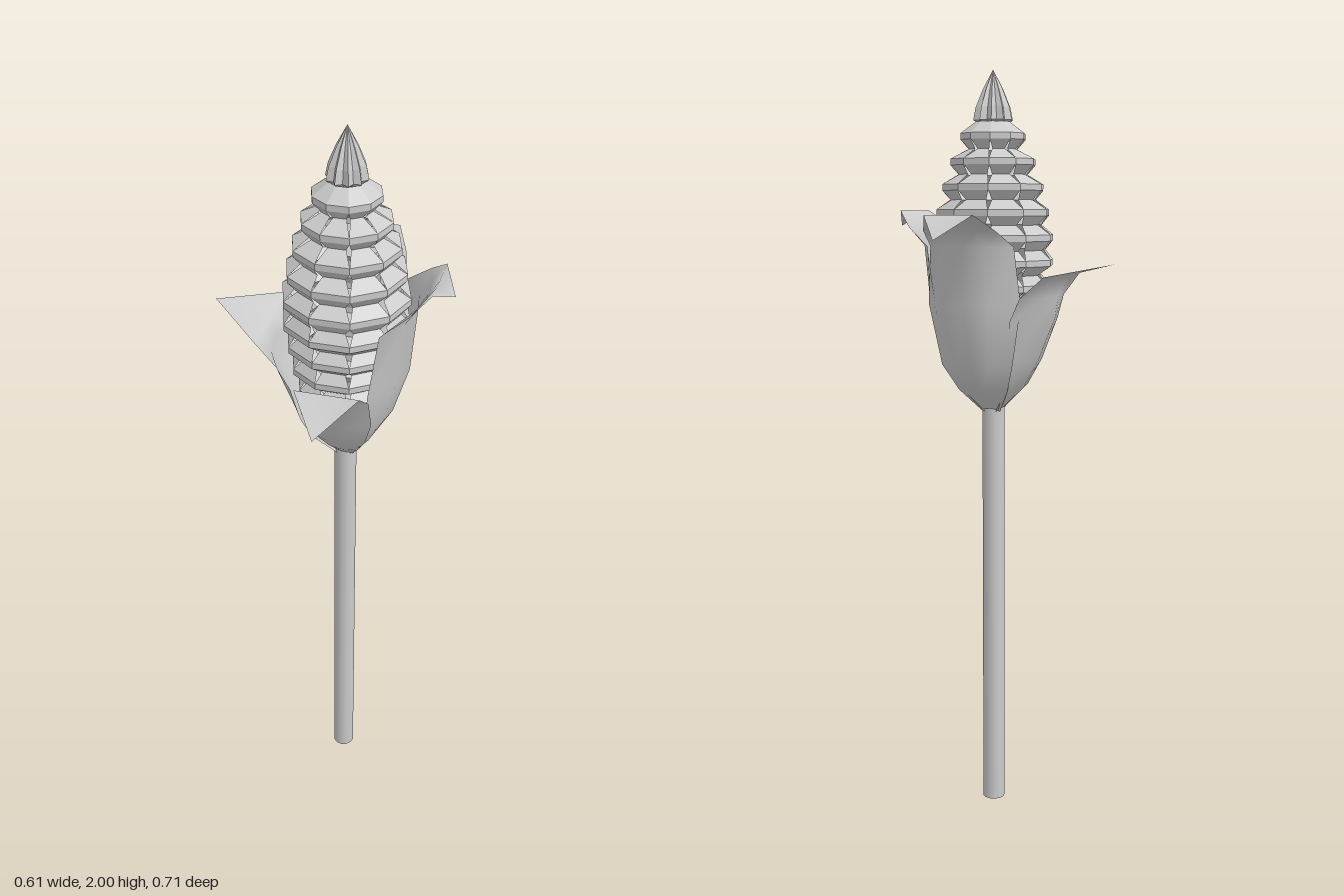
import * as THREE from 'three';

const GREY = 0xcccccc;
const flat = new THREE.MeshStandardMaterial({ color: GREY, flatShading: true, side: THREE.DoubleSide });
const smooth = new THREE.MeshStandardMaterial({ color: GREY, side: THREE.DoubleSide });

function named(name, geometry, material) {
  const mesh = new THREE.Mesh(geometry, material);
  mesh.name = name;
  return mesh;
}

// Surface through a grid of points: rows run upward, columns run left to right
function gridSurface(rows) {
  const cols = rows[0].length, index = [];
  for (let j = 0; j < rows.length - 1; j++) {
    for (let i = 0; i < cols - 1; i++) {
      const a = j * cols + i, b = a + 1, c = a + cols, d = c + 1;
      index.push(a, b, d, a, d, c);
    }
  }
  const geometry = new THREE.BufferGeometry();
  geometry.setAttribute('position', new THREE.Float32BufferAttribute(rows.flat(2), 3));
  geometry.setIndex(index);
  geometry.computeVertexNormals();
  return geometry;
}

// Petal section: [distance out, height, half width, how far the edges curl inward]
function petal(name, sections, yaw, shift = 0) {
  const steps = [-1, -0.5, 0, 0.5, 1];
  const rows = sections.map(([out, y, w, curl]) =>
    steps.map(t => [t * w + shift, y, out - curl * t * t]));
  const mesh = named(name, gridSurface(rows), smooth);
  mesh.rotation.y = yaw;
  return mesh;
}

// One vertical column of kernels; it narrows at each waist to leave slits between columns
function kernelColumn(tiers, half) {
  const rows = [];
  const ring = (r, y, h) => rows.push([-h, h].map(a => [r * Math.sin(a), y, r * Math.cos(a)]));
  tiers.forEach(([y, r], i) => {
    const below = i ? tiers[i - 1][1] : r - 0.02;
    ring(Math.min(r, below) - 0.022, y - 0.032, half * 0.8);
    ring(r, y - 0.008, half);
    ring(r, y + 0.008, half);
  });
  ring(0.046, 1.868, half);
  return gridSurface(rows);
}

export function createModel() {
  const model = new THREE.Group();
  model.name = 'flowerSpike';
  const plant = new THREE.Group();
  plant.name = 'plant';
  plant.position.set(0.035, 0, 0.013);
  model.add(plant);

  // Stem
  const stem = named('stem', new THREE.CylinderGeometry(0.03, 0.03, 1.13, 12), smooth);
  stem.position.y = 0.565;
  plant.add(stem);

  // Tiered cob, ten columns around
  const tiers = [
    [1.245, 0.1], [1.31, 0.125], [1.375, 0.14], [1.44, 0.152], [1.505, 0.163],
    [1.57, 0.163], [1.635, 0.152], [1.7, 0.136], [1.765, 0.114], [1.83, 0.087],
  ];
  const cob = new THREE.Group();
  cob.name = 'cob';
  const column = kernelColumn(tiers, Math.PI / 10);
  for (let k = 0; k < 10; k++) {
    const mesh = named('kernelColumn', column, flat);
    mesh.rotation.y = k * Math.PI / 5;
    cob.add(mesh);
  }
  plant.add(cob);

  // Ribbed tip: every second column of the lathe is drawn in
  const profile = [[0.04, 1.862], [0.053, 1.872], [0.046, 1.905], [0.027, 1.95], [0, 2]]
    .map(([r, y]) => new THREE.Vector2(r, y));
  const tip = new THREE.LatheGeometry(profile, 20, Math.PI / 10);
  const pos = tip.attributes.position;
  for (let i = 0; i < pos.count; i++) {
    if (Math.floor(i / profile.length) % 2) {
      pos.setX(i, pos.getX(i) * 0.76);
      pos.setZ(i, pos.getZ(i) * 0.76);
    }
  }
  plant.add(named('tip', tip, flat));

  // Four cupped petals with bent-out points
  plant.add(
    petal('frontPetal', [
      [0.01, 1.1, 0.01, 0], [0.065, 1.15, 0.04, 0.01], [0.11, 1.2, 0.066, 0.02],
      [0.155, 1.28, 0.09, 0.03], [0.195, 1.37, 0.092, 0.03], [0.215, 1.41, 0.082, 0],
      [0.342, 1.36, 0, 0],
    ], 0, 0.009),
    petal('leftPetal', [
      [0.01, 1.1, 0.02, 0], [0.075, 1.17, 0.075, 0.02], [0.125, 1.25, 0.115, 0.05],
      [0.165, 1.38, 0.153, 0.07], [0.18, 1.55, 0.152, 0.06], [0.205, 1.6, 0.13, 0.02],
      [0.23, 1.64, 0.085, 0], [0.27, 1.6, 0, 0],
    ], Math.PI / 2),
    petal('backPetal', [
      [0.01, 1.1, 0.02, 0], [0.09, 1.17, 0.07, 0.02], [0.15, 1.24, 0.1, 0.04],
      [0.195, 1.4, 0.13, 0.07], [0.2, 1.55, 0.117, 0.06], [0.235, 1.59, 0.1, 0.02],
      [0.28, 1.63, 0.067, 0], [0.368, 1.57, 0, 0],
    ], Math.PI),
    petal('rightPetal', [
      [0.01, 1.1, 0.02, 0], [0.09, 1.18, 0.072, 0.02], [0.13, 1.25, 0.105, 0.04],
      [0.175, 1.36, 0.14, 0.07], [0.185, 1.42, 0.147, 0.05], [0.195, 1.475, 0.135, 0],
      [0.34, 1.505, 0, 0],
    ], -Math.PI / 2),
  );
  return model;
}
